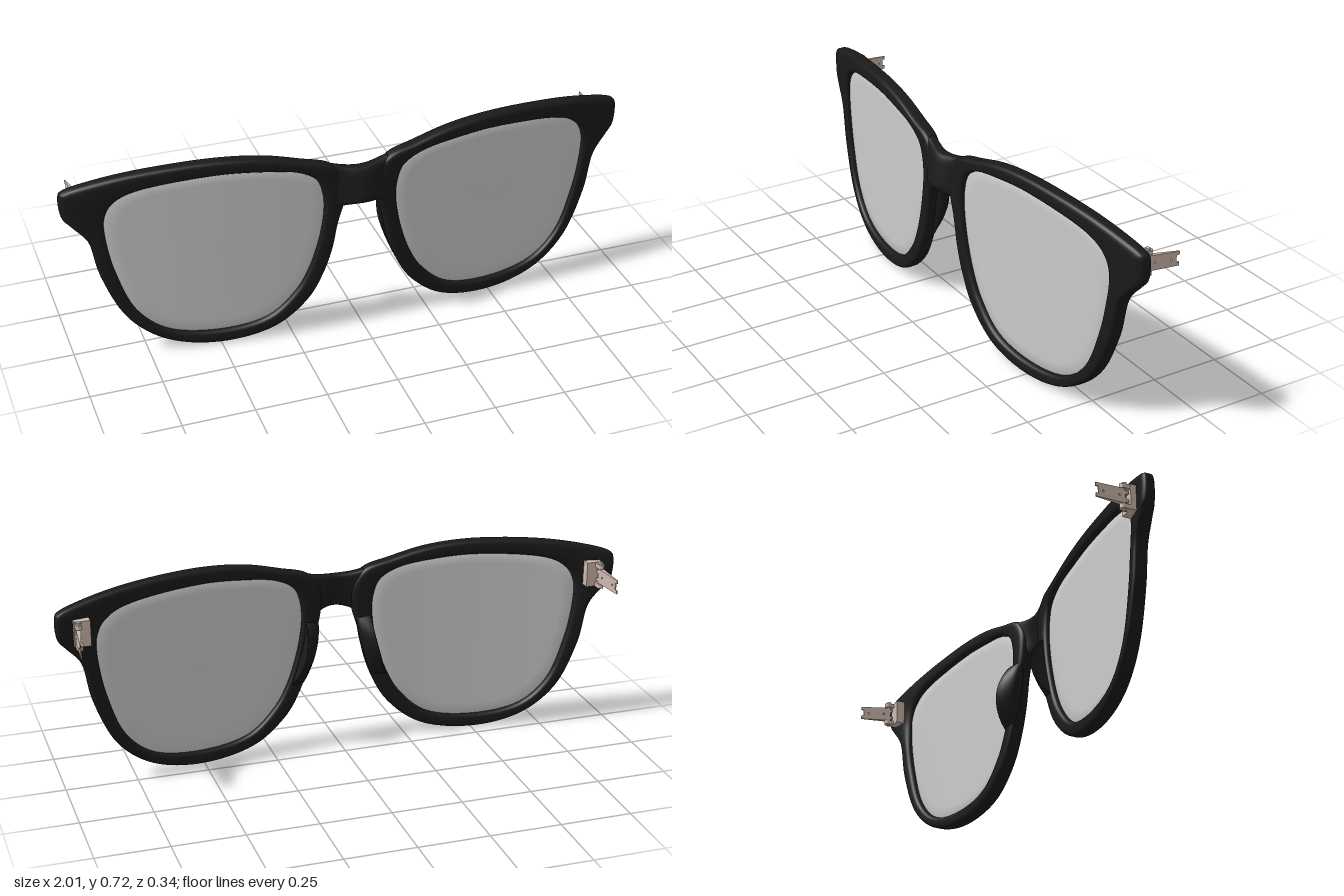
import * as THREE from 'three';
import { mergeVertices } from 'three/addons/utils/BufferGeometryUtils.js';

const V = (x, y, z) => new THREE.Vector3(x, y, z);
const spow = (v, e) => Math.sign(v) * Math.abs(v) ** e;
// wrap of the frame front: z of its mid surface
const bend = (x) => 0.112 - 0.031 * x - 0.086 * x * x;

// Skin a list of closed rings; open lofts get end caps
function loft(rings, closed = false) {
  if (!closed) {
    const tip = (r) => {
      const c = r.reduce((s, p) => s.add(p), V(0, 0, 0)).divideScalar(r.length);
      return r.map(() => c);
    };
    rings = [tip(rings[0]), ...rings, tip(rings[rings.length - 1])];
  }
  const m = rings.length, n = rings[0].length, pts = rings.flat(), idx = [];
  for (let i = 0; i < (closed ? m : m - 1); i++) {
    for (let j = 0; j < n; j++) {
      const a = i * n + j, b = i * n + (j + 1) % n;
      const c = ((i + 1) % m) * n + j, d = ((i + 1) % m) * n + (j + 1) % n;
      idx.push(a, b, c, b, d, c);
    }
  }
  // make the faces look outward whatever the ring direction
  let volume = 0;
  const cross = V(0, 0, 0);
  for (let i = 0; i < idx.length; i += 3) {
    volume += pts[idx[i]].dot(cross.crossVectors(pts[idx[i + 1]], pts[idx[i + 2]]));
  }
  if (volume < 0) idx.reverse();
  const geo = new THREE.BufferGeometry().setFromPoints(pts);
  geo.setIndex(idx);
  geo.computeVertexNormals();
  return geo;
}

function mirrored(geo) {
  const g = geo.index ? geo.clone() : mergeVertices(geo);
  g.scale(-1, 1, 1);
  g.setIndex(Array.from(g.index.array).reverse());
  return g;
}

// Paired outline points of one rim: [opening x, y, outer edge x, y]
const RIM = [
  [0.5, 0.668, 0.5, 0.72], [0.36, 0.662, 0.33, 0.707], [0.22, 0.64, 0.2, 0.675],
  [0.155, 0.6, 0.1, 0.645], [0.133, 0.54, 0.06, 0.59], [0.13, 0.475, 0.06, 0.5],
  [0.14, 0.4, 0.082, 0.42], [0.157, 0.33, 0.102, 0.32], [0.185, 0.25, 0.135, 0.225],
  [0.23, 0.17, 0.19, 0.13], [0.33, 0.08, 0.31, 0.036], [0.5, 0.05, 0.51, 0.002],
  [0.68, 0.08, 0.69, 0.042], [0.78, 0.17, 0.81, 0.14], [0.84, 0.33, 0.888, 0.31],
  [0.86, 0.43, 0.922, 0.46], [0.866, 0.5, 0.975, 0.525], [0.865, 0.53, 0.998, 0.555],
  [0.855, 0.565, 1.0, 0.64], [0.84, 0.59, 0.985, 0.652], [0.8, 0.622, 0.9, 0.677],
  [0.73, 0.645, 0.75, 0.704],
];
const outline = (k) => new THREE.CatmullRomCurve3(RIM.map((p) => V(p[k], p[k + 1], 0)), true);

function rimGeometry() {
  const inner = outline(0), outer = outline(2), rings = [];
  for (let i = 0; i < 132; i++) {
    const a = inner.getPoint(i / 132), b = outer.getPoint(i / 132), ring = [];
    for (let j = 0; j < 28; j++) {
      const t = (j / 28) * Math.PI * 2;
      const p = a.clone().lerp(b, 0.5 - 0.5 * spow(Math.cos(t), 0.6));
      ring.push(V(p.x, p.y, bend(p.x) + 0.027 * spow(Math.sin(t), 0.55)));
    }
    rings.push(ring);
  }
  return loft(rings, true);
}

function lensGeometry() {
  const edge = outline(0).getPoints(88).slice(0, 88), c = V(0.5, 0.37, 0);
  const sheet = (dz) => [0.1, 0.3, 0.5, 0.7, 0.88, 1.015].map((s) => edge.map((e) => {
    const p = c.clone().lerp(e, s);
    return V(p.x, p.y, bend(p.x) + dz);
  }));
  return loft([...sheet(0.007), ...sheet(-0.007).reverse()]);
}

// Bridge: rounded section swept across x, bowed forward and leaning out at the bottom
function bridgeGeometry() {
  const rings = [];
  for (let i = 0; i <= 24; i++) {
    const x = -0.102 + (0.204 * i) / 24, t = Math.abs(x), ring = [];
    const top = 0.63 + 1.5 * t * t, bottom = 0.506 - 3 * t * t;
    const bow = 0.5 + 0.5 * Math.cos(Math.PI * Math.min(1, t / 0.12));
    for (let j = 0; j < 32; j++) {
      const a = (j / 32) * Math.PI * 2;
      const y = (top + bottom) / 2 + ((top - bottom) / 2) * spow(Math.sin(a), 0.5);
      const z = 0.106 + 0.03 * bow + (0.022 + 0.003 * bow) * spow(Math.cos(a), 0.5);
      ring.push(V(x, y, z + (0.568 - y) * 0.25 * bow));
    }
    rings.push(ring);
  }
  return loft(rings);
}

// Nose pad: fin behind the rim whose crest curls outward
function nosePadGeometry() {
  const fin = [[-0.022, 0], [-0.024, 0.4], [-0.012, 0.65], [0.006, 0.85], [0.022, 1],
    [0.025, 0.93], [0.02, 0.65], [0.024, 0.4], [0.026, 0]];
  const rings = [];
  for (let i = 0; i <= 20; i++) {
    const u = i / 20, y = 0.24 + 0.24 * u;
    const x = THREE.MathUtils.lerp(0.152, 0.094, Math.sin(u * Math.PI / 2));
    const h = 0.012 + 0.066 * Math.sin(Math.PI * u) ** 0.7;
    rings.push(fin.map(([dx, s]) => V(x + dx, y, 0.1 - h * s)));
  }
  return loft(rings);
}

// Hinge leaf: forked at both ends, two rivet holes, thinning toward the tip
function hingeLeafGeometry() {
  const s = new THREE.Shape([[0.046, 0.598], [0.06, 0.598], [0.06, 0.605], [0.168, 0.596],
    [0.168, 0.584], [0.158, 0.584], [0.157, 0.56], [0.167, 0.559], [0.167, 0.546],
    [0.06, 0.552], [0.06, 0.558], [0.046, 0.558], [0.046, 0.568], [0.058, 0.57],
    [0.058, 0.586], [0.046, 0.588]].map(([u, y]) => new THREE.Vector2(u, y)));
  for (const [u, y] of [[0.08, 0.577], [0.14, 0.572]]) {
    s.holes.push(new THREE.Path().absarc(u, y, 0.0035, 0, Math.PI * 2));
  }
  const geo = new THREE.ExtrudeGeometry(s, { depth: 1, bevelEnabled: false, curveSegments: 6 });
  geo.rotateY(Math.PI / 2);
  const p = geo.attributes.position;
  for (let i = 0; i < p.count; i++) {
    const k = (-p.getZ(i) - 0.046) / 0.122;
    p.setX(i, 0.924 + 0.022 * k + p.getX(i) * (0.018 - 0.014 * k));
  }
  geo.computeVertexNormals();
  return geo;
}

const box = (w, h, d, x, y, z) => new THREE.BoxGeometry(w, h, d).translate(x, y, z);
const rod = (r, h, x, y, z) => new THREE.CylinderGeometry(r, r, h, 20).translate(x, y, z);

export function createModel() {
  const group = new THREE.Group();
  group.name = 'glassesFront';
  const black = new THREE.MeshStandardMaterial({ color: 0x1a1a1a });
  const glass = new THREE.MeshStandardMaterial({ color: 0xcccccc });
  const metal = new THREE.MeshStandardMaterial({ color: 0xcdb9ac });
  const add = (parent, name, geo, mat) => {
    const mesh = new THREE.Mesh(geo, mat);
    mesh.name = name;
    parent.add(mesh);
  };

  add(group, 'bridge', bridgeGeometry(), black);

  const parts = [
    ['Rim', rimGeometry(), black],
    ['Lens', lensGeometry(), glass],
    ['NosePad', nosePadGeometry(), black],
  ];
  const hingeParts = [
    ['HingePlate', box(0.055, 0.09, 0.034, 0.918, 0.58, -0.024), metal],
    ['HingeLeaf', hingeLeafGeometry(), metal],
    ['HingePin', rod(0.006, 0.1, 0.933, 0.58, -0.057), metal],
    ['HingeScrewHead', rod(0.009, 0.006, 0.933, 0.626, -0.057), metal],
  ];
  // upper and lower knuckle arms hold the pin
  for (const [n, y] of [['Upper', 0.615], ['Lower', 0.543]]) {
    hingeParts.push([`Hinge${n}Arm`, box(0.022, 0.016, 0.03, 0.933, y, -0.048), metal]);
    hingeParts.push([`Hinge${n}Knuckle`, rod(0.011, 0.016, 0.933, y, -0.063), metal]);
  }

  for (const side of ['left', 'right']) {
    const place = (geo) => (side === 'left' ? geo : mirrored(geo));
    const hinge = new THREE.Group();
    hinge.name = `${side}Hinge`;
    group.add(hinge);
    for (const [name, geo, mat] of parts) add(group, side + name, place(geo), mat);
    for (const [name, geo, mat] of hingeParts) add(hinge, side + name, place(geo), mat);
  }
  return group;
}
